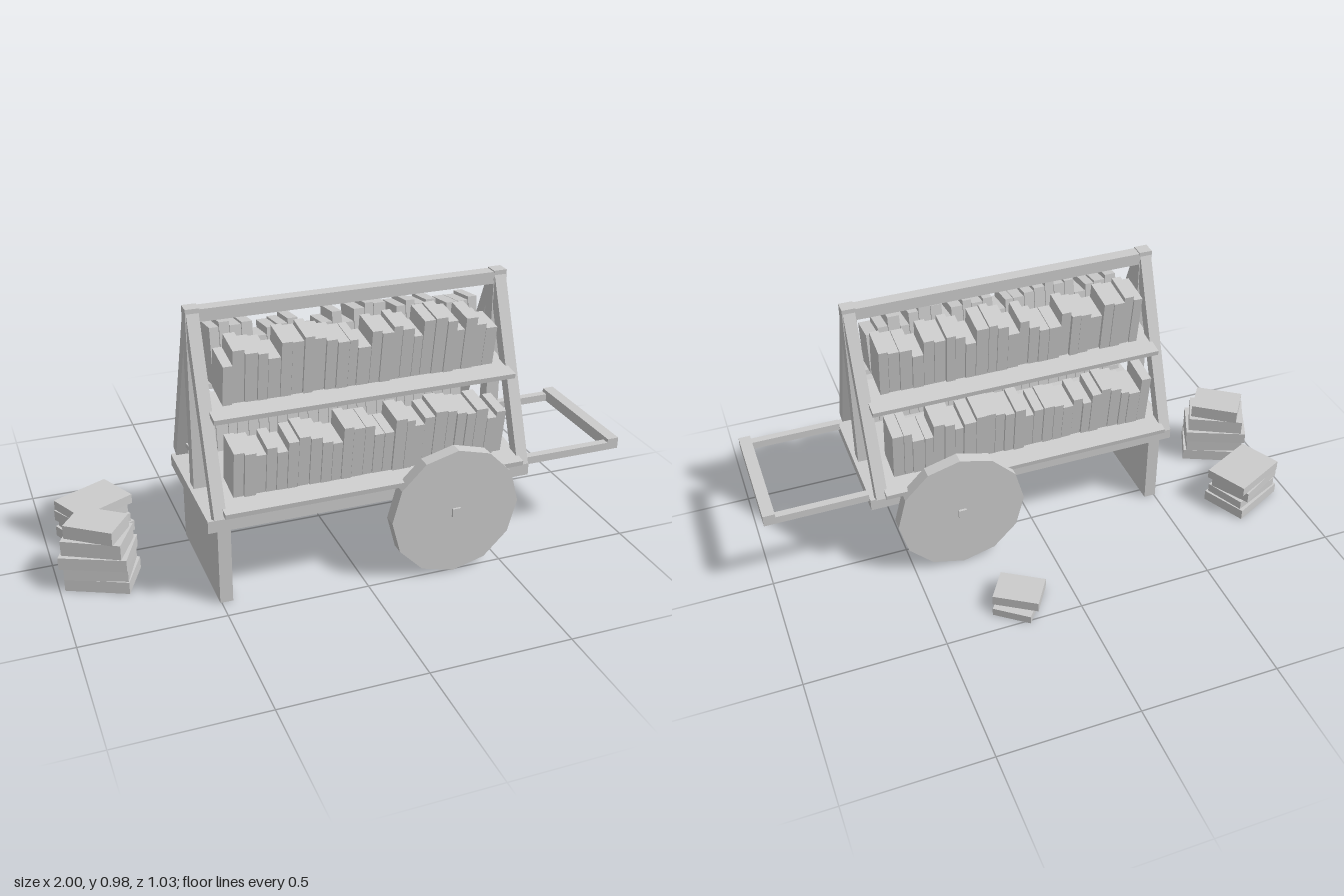
import * as THREE from 'three';

const grey = new THREE.MeshStandardMaterial({ color: 0xcccccc });
grey.name = 'plainGrey';

// Box given by its min and max on each axis
function box(parent, name, x0, x1, y0, y1, z0, z1) {
  const mesh = new THREE.Mesh(new THREE.BoxGeometry(x1 - x0, y1 - y0, z1 - z0), grey);
  mesh.position.set((x0 + x1) / 2, (y0 + y1) / 2, (z0 + z1) / 2);
  mesh.name = name;
  parent.add(mesh);
  return mesh;
}

function group(parent, name, x = 0, y = 0, z = 0) {
  const g = new THREE.Group();
  g.name = name;
  g.position.set(x, y, z);
  parent.add(g);
  return g;
}

let seed = 7;
function rand(a, b) {
  seed = (seed * 16807) % 2147483647;
  return a + (b - a) * (seed / 2147483647);
}

const MID_X = 0.043, MID_Z = 0.188;   // centre of the cart

// Book heights in thousandths, left to right
const upperHeights = [146, 195, 180, 174, 150, 203, 197, 212, 197, 187, 176, 176, 144,
  197, 187, 203, 187, 155, 208, 213, 197, 155, 197, 165, 146];
const lowerHeights = [172, 167, 150, 172, 150, 182, 193, 182, 161, 150, 204, 193, 193,
  156, 156, 204, 193, 166, 188, 204, 198, 188, 182, 193, 150, 166];

// A tilted shelf with its row of books standing on it
function shelfWithBooks(side, name, y, z, heights, shift) {
  const row = group(side, name, 0, y, z);
  row.rotation.x = THREE.MathUtils.degToRad(8);
  box(row, 'shelfBoard', -0.535, 0.535, -0.018, 0, 0.03, 0.2);
  const n = heights.length, pitch = 0.97 / n;
  let x = -0.485;
  for (let i = 0; i < n; i++) {
    const end = -0.485 + pitch * (i + 1) + rand(-0.005, 0.005);
    const h = heights[(i + shift) % n] / 1000;
    box(row, 'book', x, end - 0.002, 0, h, 0, rand(0.115, 0.126));
    x = end;
  }
}

// Loose pile; each book is [width, depth, height, turn in degrees, dx, dz]
function pile(parent, x, z, books) {
  const p = group(parent, 'bookPile', x, 0, z);
  let y = 0;
  for (const [w, d, h, turn, dx, dz] of books) {
    const b = box(p, 'pileBook', -w / 2, w / 2, y, y + h, -d / 2, d / 2);
    b.position.x += dx;
    b.position.z += dz;
    b.rotation.y = THREE.MathUtils.degToRad(turn);
    y += h;
  }
}

export function createModel() {
  const model = new THREE.Group();
  model.name = 'bookCart';

  // Bed, support board and pull handle
  box(model, 'bed', -0.54, 0.627, 0.287, 0.331, -0.062, 0.438);
  box(model, 'supportBoard', -0.505, -0.46, 0, 0.287, -0.045, 0.422);
  for (const [z0, z1] of [[-0.046, -0.018], [0.394, 0.422]])
    box(model, 'handleRail', 0.627, 0.957, 0.318, 0.346, z0, z1);
  box(model, 'handleBar', 0.957, 1, 0.318, 0.36, -0.046, 0.422);

  // Axle and twelve-sided wheels
  box(model, 'axle', 0.3, 0.33, 0.221, 0.252, -0.141, 0.516);
  for (const z of [0.485, -0.109]) {
    const wheel = new THREE.Mesh(
      new THREE.CylinderGeometry(0.236, 0.236, 0.046, 12).toNonIndexed(), grey);
    wheel.geometry.computeVertexNormals();
    wheel.rotation.x = Math.PI / 2;
    wheel.position.set(0.315, 0.236, z);
    wheel.name = 'wheel';
    model.add(wheel);
  }

  // End frames: a post between two slanted legs
  for (const x of [-0.503, 0.589]) {
    const frame = group(model, 'endFrame', x, 0, MID_Z);
    box(frame, 'post', -0.024, 0.024, 0.331, 0.978, -0.024, 0.024);
    for (const s of [1, -1]) {
      const leg = box(frame, 'slantedLeg', -0.021, 0.021, -0.335, 0.335, -0.0215, 0.0215);
      leg.position.set(0, 0.649, s * 0.128);
      leg.rotation.x = -s * Math.atan2(0.254, 0.625);
    }
  }
  box(model, 'ridgeBeam', -0.48, 0.566, 0.931, 0.974, MID_Z - 0.023, MID_Z + 0.023);

  // Two shelves of books on each side
  for (let i = 0; i < 2; i++) {
    const side = group(model, i ? 'backShelves' : 'frontShelves', MID_X, 0, MID_Z);
    side.rotation.y = i * Math.PI;
    shelfWithBooks(side, 'upperShelf', 0.69, 0, upperHeights, i * 9);
    shelfWithBooks(side, 'lowerShelf', 0.4, 0.097, lowerHeights, i * 11);
  }

  // Book piles on the ground
  pile(model, -0.856, 0.144, [
    [0.225, 0.165, 0.045, -25, 0.01, 0],
    [0.22, 0.16, 0.045, -22, 0.005, 0],
    [0.235, 0.17, 0.045, -24, 0, 0],
    [0.21, 0.15, 0.055, -28, 0, 0],
    [0.18, 0.135, 0.05, -36, 0, 0],
  ]);
  pile(model, -0.815, -0.168, [
    [0.225, 0.175, 0.04, 26, 0, 0],
    [0.21, 0.155, 0.033, 24, 0, 0],
    [0.21, 0.16, 0.04, 30, -0.01, 0],
    [0.225, 0.165, 0.036, 26, 0, 0],
  ]);
  pile(model, 0.198, -0.4, [
    [0.18, 0.14, 0.03, 52, 0, 0],
    [0.165, 0.125, 0.037, -33, 0, 0],
  ]);

  return model;
}
